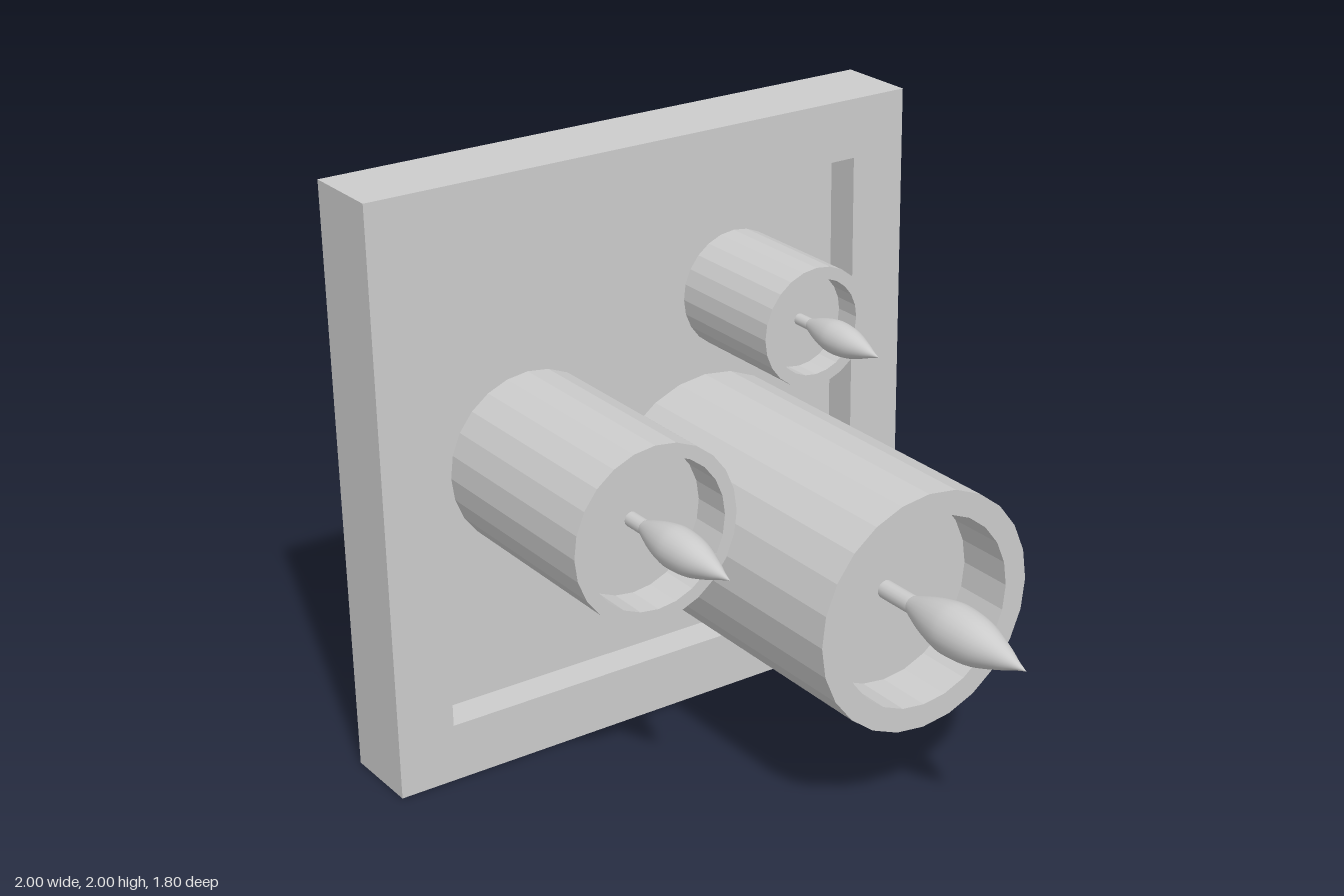
import * as THREE from 'three';

const TRAY_FLOOR = -0.74;

// Turns an (radius, z) profile around an axis pointing towards +z.
function turned(name, profile, sides, { flat = false, phase = 0 } = {}) {
  const points = profile.map(([r, z]) => new THREE.Vector2(r, z));
  let geometry = new THREE.LatheGeometry(points, sides, phase);
  geometry.rotateX(Math.PI / 2);
  if (flat) {
    geometry = geometry.toNonIndexed();
    geometry.computeVertexNormals();
  }
  const material = new THREE.MeshStandardMaterial({ color: 0xcccccc, flatShading: flat });
  const mesh = new THREE.Mesh(geometry, material);
  mesh.name = name;
  return mesh;
}

// Square tray with a raised rim: a four-sided turned profile.
function makeTray() {
  const d = Math.SQRT2;
  const tray = turned('tray', [
    [0, -0.9], [d, -0.9], [d, -0.62],
    [0.8 * d, -0.62], [0.8 * d, TRAY_FLOOR], [0, TRAY_FLOOR],
  ], 4, { flat: true, phase: Math.PI / 4 });
  tray.position.y = 1;
  return tray;
}

// Candle with a hollowed end, a wick and a flame.
function makeCandle({ name, x, y, radius, inner, rim, recess, peak, tip, flameRadius }) {
  const candle = new THREE.Group();
  candle.name = name;
  candle.position.set(x, y, 0);
  const floor = rim - recess;

  candle.add(turned('wax', [
    [radius, TRAY_FLOOR], [radius, rim], [inner, rim], [inner, floor], [0, floor],
  ], 24, { flat: true }));

  const wickRadius = flameRadius * 0.36;
  const length = tip - peak;
  const base = peak - length * 0.75;
  candle.add(turned('wick', [[wickRadius, floor], [wickRadius, base + 0.02]], 16));

  // Flame: rounded body drawn out to a sharp tip.
  const outline = new THREE.SplineCurve([
    [0.3, base], [0.68, peak - length * 0.47], [0.92, peak - length * 0.22],
    [1, peak], [0.87, peak + length * 0.32], [0.48, peak + length * 0.65],
    [0.2, peak + length * 0.84], [0, tip],
  ].map(([r, z]) => new THREE.Vector2(r * flameRadius, z)));
  const profile = outline.getPoints(28).map((p) => [Math.max(p.x, 0), p.y]);
  candle.add(turned('flame', [[0, base], ...profile], 24));
  return candle;
}

export function createModel() {
  const model = new THREE.Group();
  model.name = 'candleTray';
  model.add(makeTray());

  const candles = [
    { name: 'largeCandle', x: 0.28, y: 0.72, radius: 0.4, inner: 0.32,
      rim: 0.435, recess: 0.2, peak: 0.59, tip: 0.9, flameRadius: 0.085 },
    { name: 'mediumCandle', x: -0.4, y: 1, radius: 0.294, inner: 0.25,
      rim: -0.02, recess: 0.14, peak: 0.1, tip: 0.36, flameRadius: 0.068 },
    { name: 'smallCandle', x: 0.4, y: 1.4, radius: 0.2, inner: 0.16,
      rim: -0.29, recess: 0.09, peak: -0.175, tip: 0.03, flameRadius: 0.054 },
  ];
  for (const candle of candles) model.add(makeCandle(candle));
  return model;
}
